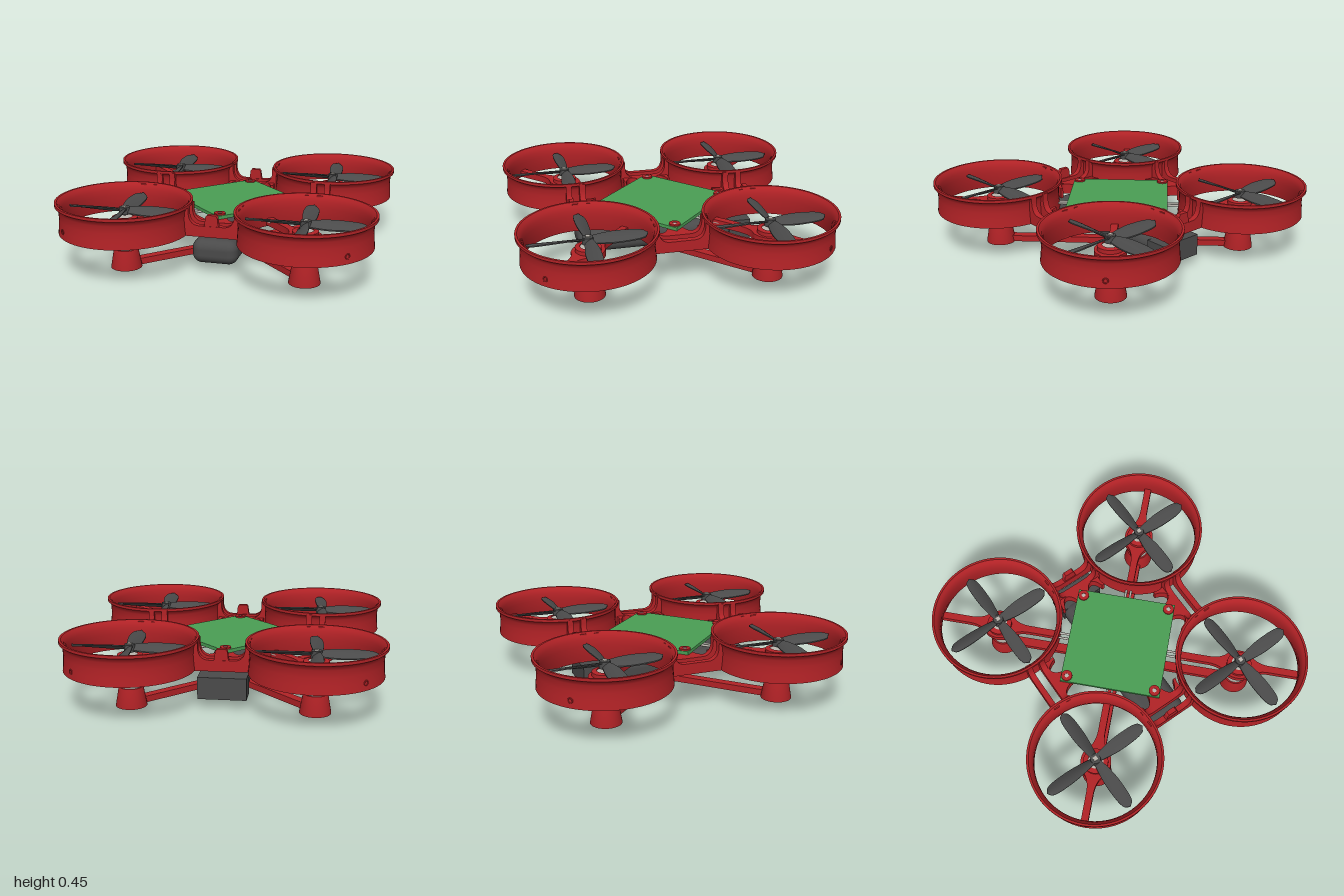
import * as THREE from 'three';
import { toCreasedNormals } from 'three/addons/utils/BufferGeometryUtils.js';
import { RoundedBoxGeometry } from 'three/addons/geometries/RoundedBoxGeometry.js';

const paint = (name, color) => {
  const m = new THREE.MeshStandardMaterial({ color });
  m.name = name;
  return m;
};

const V = (x, y) => new THREE.Vector2(x, y);
const lathe = (pts, seg) => toCreasedNormals(new THREE.LatheGeometry(pts.map(p => V(...p)), seg), 0.6);

// Extrude a shape drawn in x and z between two heights
function slab(shape, y0, y1) {
  const g = new THREE.ExtrudeGeometry(shape, { depth: y1 - y0, bevelEnabled: false, curveSegments: 10 });
  return g.rotateX(Math.PI / 2).translate(0, y1, 0);
}

// Tapered, pitched propeller blade running along +x
function bladeGeometry() {
  const g = new THREE.BoxGeometry(1, 1, 1, 20, 1, 6);
  const p = g.attributes.position;
  for (let i = 0; i < p.count; i++) {
    const t = p.getX(i) + 0.5;
    const tip = Math.sqrt(Math.max(0, 1 - Math.pow(t, 10)));
    const chord = (0.04 + 0.045 * Math.sin(Math.min(1, t * 1.8) * Math.PI / 2)) * tip + 0.002;
    const v = p.getZ(i);
    const z = v * chord - 0.008 * t;
    const pitch = 0.55 - 0.3 * t;
    const camber = 0.008 * (1 - 4 * v * v);
    p.setXYZ(i, 0.015 + t * 0.352, -z * Math.tan(pitch) + camber + p.getY(i) * 0.008, z);
  }
  g.computeVertexNormals();
  return g;
}

export function createModel() {
  const red = paint('frame red', 0xb22226);
  const green = paint('board green', 0x4a9e54);
  const dark = paint('dark grey', 0x4a4a4a);
  const silver = paint('motor silver', 0xbab6ae);

  const root = new THREE.Group();
  root.name = 'quadcopter';
  const add = (parent, name, geo, mat, x = 0, y = 0, z = 0) => {
    const m = new THREE.Mesh(geo, mat);
    m.name = name;
    m.position.set(x, y, z);
    parent.add(m);
    return m;
  };

  const C = 0.572;                 // duct centre offset on x and z
  const R = C * Math.SQRT2;        // same, along the diagonal

  // Shared geometries
  const duct = lathe([
    [0.4, 0.25], [0.411, 0.25], [0.406, 0.3], [0.403, 0.35], [0.406, 0.395], [0.415, 0.418],
    [0.428, 0.427], [0.428, 0.445], [0.414, 0.445], [0.398, 0.428], [0.388, 0.4], [0.386, 0.36],
    [0.39, 0.3], [0.4, 0.25]], 72);
  const foot = lathe([[0, 0], [0.06, 0], [0.098, 0], [0.098, 0.004], [0.076, 0.125], [0.06, 0.125]], 36);
  const collar = lathe([[0.066, 0.25], [0.08, 0.25], [0.08, 0.33], [0.05, 0.335], [0.05, 0.25]], 32);
  const motor = new THREE.CylinderGeometry(0.067, 0.067, 0.21, 32);
  const hub = new THREE.CylinderGeometry(0.032, 0.036, 0.045, 24);
  const blade = bladeGeometry();

  // Spar across the duct, flaring around the motor
  const spar = new THREE.Shape();
  spar.moveTo(-0.395, -0.023);
  spar.lineTo(-0.2, -0.023);
  spar.quadraticCurveTo(-0.11, -0.025, -0.075, -0.075);
  spar.quadraticCurveTo(0, -0.12, 0.075, -0.075);
  spar.quadraticCurveTo(0.11, -0.025, 0.2, -0.023);
  spar.lineTo(0.395, -0.023);
  spar.lineTo(0.395, 0.023);
  spar.lineTo(0.2, 0.023);
  spar.quadraticCurveTo(0.11, 0.025, 0.075, 0.075);
  spar.quadraticCurveTo(0, 0.12, -0.075, 0.075);
  spar.quadraticCurveTo(-0.11, 0.025, -0.2, 0.023);
  spar.lineTo(-0.395, 0.023);
  const sparGeo = slab(spar, 0.26, 0.305);

  // Lower brace, widening toward the middle
  const brace = new THREE.Shape();
  brace.moveTo(0, -0.06);
  brace.quadraticCurveTo(0.07, -0.03, 0.14, -0.03);
  brace.lineTo(R - 0.05, -0.03);
  brace.lineTo(R - 0.05, 0.03);
  brace.lineTo(0.14, 0.03);
  brace.quadraticCurveTo(0.07, 0.03, 0, 0.06);
  const braceGeo = slab(brace, 0.004, 0.045);

  // Corner units: local +x points out along the diagonal
  for (let k = 0; k < 4; k++) {
    const unit = new THREE.Group();
    unit.name = 'cornerUnit';
    unit.rotation.y = -(Math.PI / 4 + k * Math.PI / 2);
    root.add(unit);
    add(unit, 'duct', duct, red, R);
    add(unit, 'spar', sparGeo, red, R);
    add(unit, 'motorCollar', collar, red, R);
    add(unit, 'motor', motor, silver, R, 0.225);
    add(unit, 'foot', foot, red, R);
    add(unit, 'lowerBrace', braceGeo, red);
    add(unit, 'motorBase', new THREE.BoxGeometry(0.075, 0.006, 0.075), dark, R, 0.002);
    const eye = add(unit, 'ductScrewRim', new THREE.TorusGeometry(0.014, 0.004, 8, 20), red, R + 0.406, 0.295);
    eye.rotation.y = Math.PI / 2;
    for (const s of [-1, 1]) {
      const wire = add(unit, 'motorWire', new THREE.CylinderGeometry(0.008, 0.008, 0.26, 10), silver, 0.33, 0.285, s * 0.016);
      wire.rotation.z = Math.PI / 2;
    }

    // Propeller
    const prop = new THREE.Group();
    prop.name = 'propeller';
    prop.position.set(k % 3 ? -C : C, 0.372, k < 2 ? C : -C);
    root.add(prop);
    add(prop, 'propHub', hub, dark);
    add(prop, 'propShaft', new THREE.BoxGeometry(0.026, 0.06, 0.026), silver);
    for (let b = 0; b < 4; b++) add(prop, 'blade', blade, dark).rotation.y = b * Math.PI / 2;
  }

  // Bridge wall with a U-shaped top edge
  const wall = new THREE.Shape();
  wall.moveTo(-0.175, 0.25);
  wall.lineTo(0.175, 0.25);
  wall.lineTo(0.175, 0.436);
  wall.lineTo(0.145, 0.436);
  wall.lineTo(0.145, 0.395);
  wall.quadraticCurveTo(0.14, 0.32, 0.075, 0.32);
  wall.lineTo(-0.075, 0.32);
  wall.quadraticCurveTo(-0.14, 0.32, -0.145, 0.395);
  wall.lineTo(-0.145, 0.436);
  wall.lineTo(-0.175, 0.436);
  const wallGeo = d => new THREE.ExtrudeGeometry(wall, { depth: d, bevelEnabled: false, curveSegments: 12 });
  const outerWall = wallGeo(0.038), innerWall = wallGeo(0.04);

  // Board mount reaching in from the bridge
  const mount = new THREE.Shape();
  mount.moveTo(-0.165, 0.485);
  mount.quadraticCurveTo(-0.155, 0.44, -0.17, 0.41);
  mount.lineTo(-0.15, 0.41);
  mount.quadraticCurveTo(-0.13, 0.475, -0.1, 0.475);
  mount.quadraticCurveTo(-0.065, 0.47, -0.048, 0.41);
  mount.absarc(0, 0.41, 0.048, Math.PI, Math.PI * 2, false);
  mount.quadraticCurveTo(0.065, 0.47, 0.1, 0.475);
  mount.quadraticCurveTo(0.13, 0.475, 0.15, 0.41);
  mount.lineTo(0.17, 0.41);
  mount.quadraticCurveTo(0.155, 0.44, 0.165, 0.485);
  const mountGeo = slab(mount, 0.25, 0.32);
  const washer = lathe([[0.014, 0.34], [0.036, 0.34], [0.036, 0.352], [0.014, 0.352], [0.014, 0.34]], 24);

  // Four bridges: local +z points outward
  for (let k = 0; k < 4; k++) {
    const bridge = new THREE.Group();
    bridge.name = 'bridge';
    bridge.rotation.y = k * Math.PI / 2;
    root.add(bridge);
    add(bridge, 'outerBridgeWall', outerWall, red, 0, 0, 0.572);
    add(bridge, 'innerBridgeWall', innerWall, red, 0, 0, 0.48);
    add(bridge, 'boardMount', mountGeo, red);
    add(bridge, 'mountWasher', washer, red, 0, 0, 0.41);
    add(bridge, 'mountPin', new THREE.CylinderGeometry(0.014, 0.014, 0.1, 16), silver, 0, 0.299, 0.41);
    if (k % 2 === 0) {
      const tab = new THREE.Shape([V(-0.05, 0.31), V(0.05, 0.31), V(0.042, 0.335), V(0.038, 0.375),
        V(0.028, 0.39), V(-0.028, 0.39), V(-0.038, 0.375), V(-0.042, 0.335)]);
      add(bridge, 'bridgeTab', new THREE.ExtrudeGeometry(tab, { depth: 0.03, bevelEnabled: false }), red, 0, 0, 0.578);
    }
  }

  // Circuit board
  const B = 0.465;
  add(root, 'circuitBoard', slab(new THREE.Shape([V(B, 0), V(0, B), V(-B, 0), V(0, -B)]), 0.32, 0.342), green);

  // Battery with its rear cap
  add(root, 'battery', new RoundedBoxGeometry(0.29, 0.155, 1.06, 5, 0.06), dark, 0, 0.133, 0.045);
  add(root, 'batteryCap', new THREE.BoxGeometry(0.305, 0.14, 0.145), dark, 0, 0.132, -0.5175);

  return root;
}
